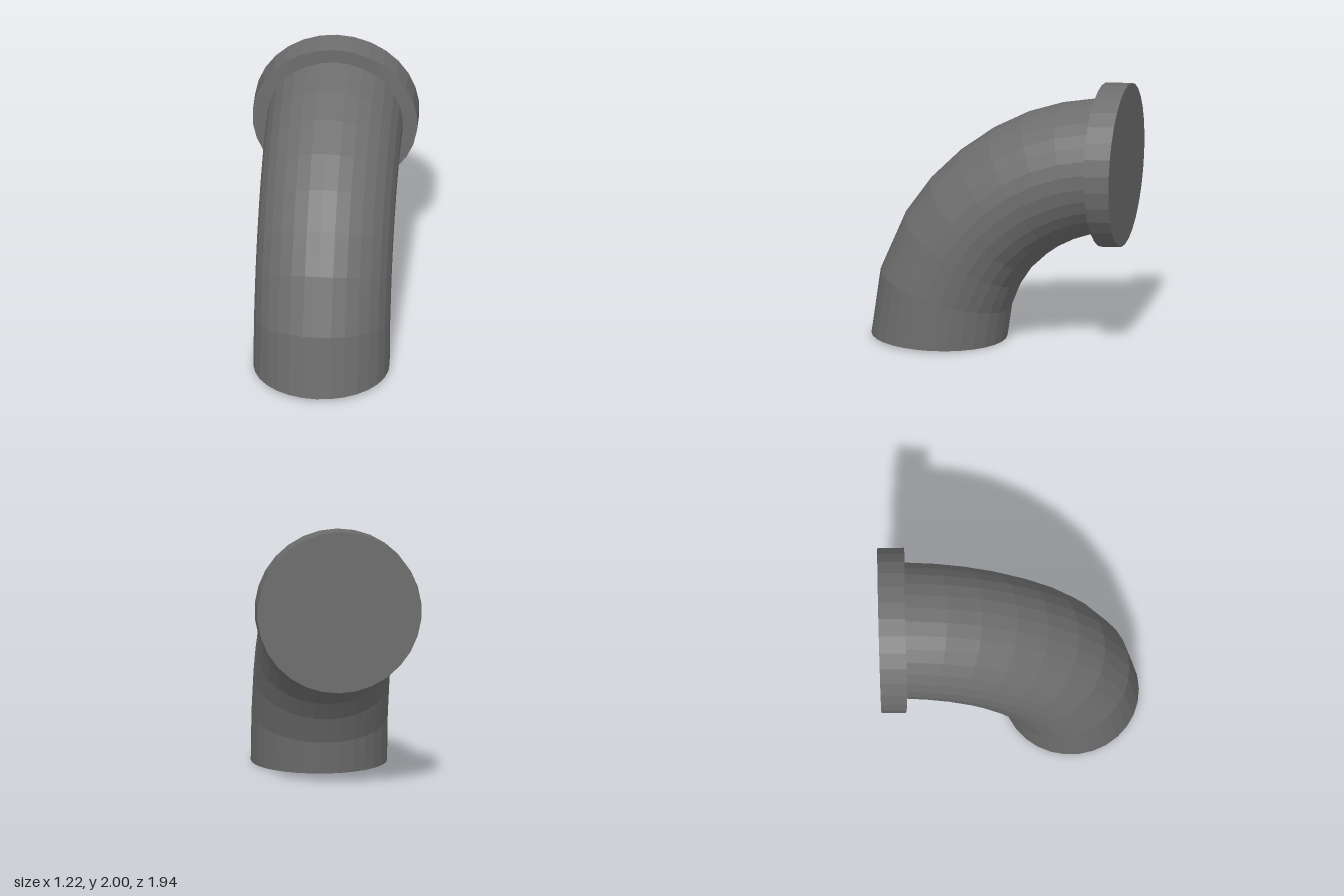
import * as THREE from 'three';

const SIDES = 30;

// Lofts a closed, capped solid through rings given as [outerZ, outerY, innerZ, innerY, bow],
// where bow pushes the sides of a ring towards +z
function loft(name, rings, radius, material) {
  const loops = rings.map(([oz, oy, iz, iy, bow = 0]) => {
    const centre = new THREE.Vector3(0, (oy + iy) / 2, (oz + iz) / 2);
    const reach = new THREE.Vector3(0, (oy - iy) / 2, (oz - iz) / 2);
    const points = [];
    for (let j = 0; j < SIDES; j++) {
      const a = (j / SIDES) * Math.PI * 2;
      const p = centre.clone().addScaledVector(reach, Math.cos(a));
      p.x = radius * Math.sin(a);
      p.z += bow * Math.sin(a) ** 2;
      points.push(p);
    }
    return { centre, points };
  });

  const positions = [];
  const tri = (...corners) => corners.forEach((p) => positions.push(p.x, p.y, p.z));
  const first = loops[0];
  const last = loops[loops.length - 1];
  for (let j = 0; j < SIDES; j++) {
    const k = (j + 1) % SIDES;
    for (let i = 0; i < loops.length - 1; i++) {
      const a = loops[i].points;
      const b = loops[i + 1].points;
      tri(a[j], a[k], b[k]);
      tri(a[j], b[k], b[j]);
    }
    tri(first.centre, first.points[k], first.points[j]);
    tri(last.centre, last.points[j], last.points[k]);
  }

  const geometry = new THREE.BufferGeometry();
  geometry.setAttribute('position', new THREE.Float32BufferAttribute(positions, 3));
  geometry.computeVertexNormals();
  const mesh = new THREE.Mesh(geometry, material);
  mesh.name = name;
  return mesh;
}

export function createModel() {
  const group = new THREE.Group();
  group.name = 'pipeElbow';
  const material = new THREE.MeshStandardMaterial({ color: 0x6e6e6e, flatShading: true });

  // Curved pipe, from its foot up to the flange
  group.add(loft('elbowPipe', [
    [0.97, 0.02, -0.04, 0],
    [0.9, 0.515, -0.075, 0.24],
    [0.72, 0.935, -0.15, 0.43],
    [0.525, 1.21, -0.235, 0.56],
    [0.3, 1.435, -0.35, 0.67],
    [0.07, 1.605, -0.46, 0.75],
    [-0.19, 1.74, -0.585, 0.815],
    [-0.45, 1.825, -0.7, 0.855],
    [-0.78, 1.882, -0.81, 0.88],
  ], 0.506, material));

  // Wide end flange, slightly wedge-shaped with a bowed front
  group.add(loft('flange', [
    [-0.768, 1.99, -0.8, 0.77, 0.02],
    [-0.967, 2.0, -0.945, 0.777],
  ], 0.614, material));

  return group;
}
